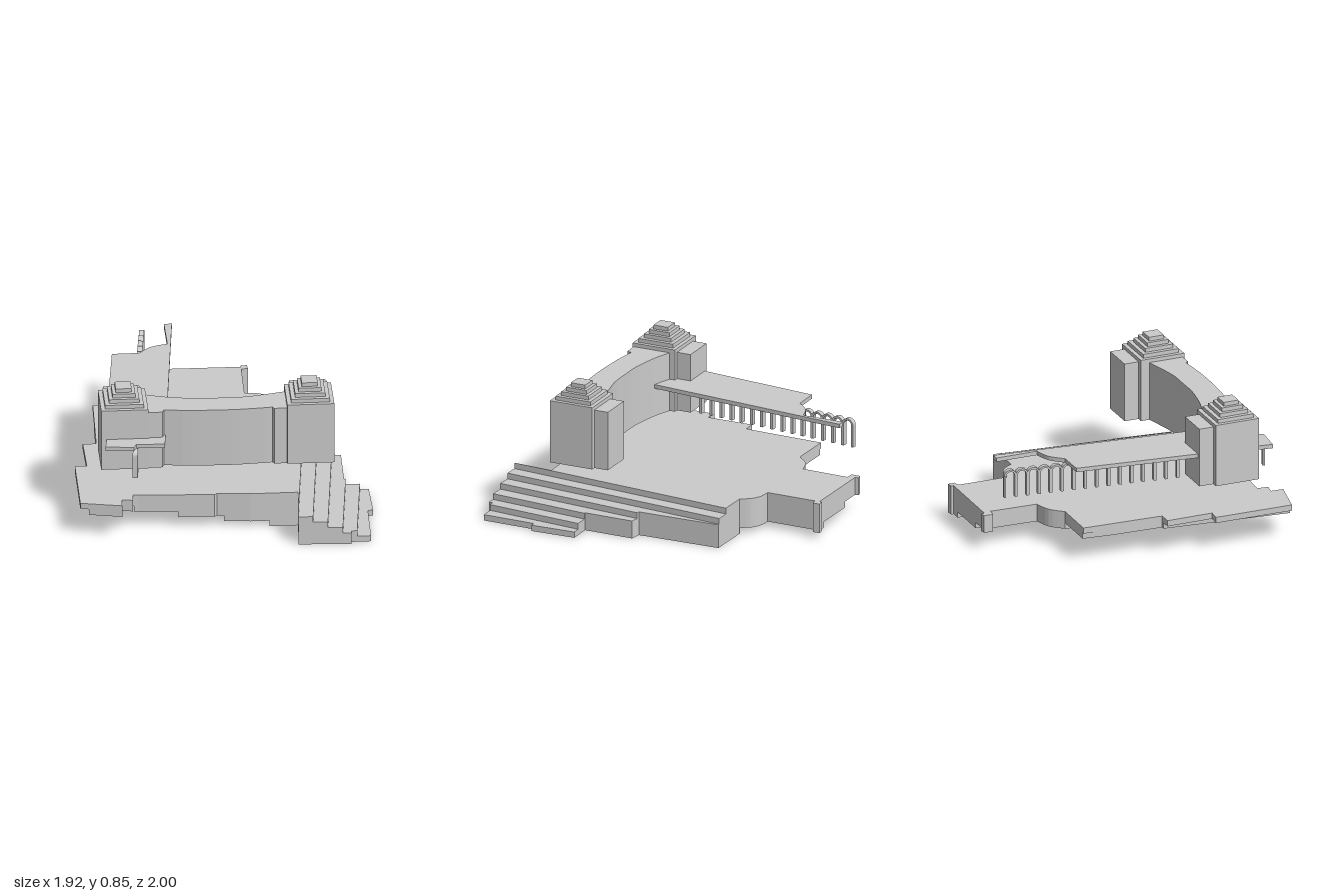
import * as THREE from 'three';

const material = new THREE.MeshStandardMaterial({ color: 0xcccccc, flatShading: true, side: THREE.DoubleSide });
const SLOPE = 0.21;   // the terraces run along u = x - SLOPE * z
const FLOOR = 0.36;   // underside of the raised building

// Extrude a plan outline of [x, z] points between two heights
function slab(name, points, y0, y1) {
  const shape = new THREE.Shape(points.map(([x, z]) => new THREE.Vector2(x, -z)));
  const geometry = new THREE.ExtrudeGeometry(shape, { depth: y1 - y0, bevelEnabled: false });
  geometry.rotateX(-Math.PI / 2).translate(0, y0, 0);
  const mesh = new THREE.Mesh(geometry, material);
  mesh.name = name;
  return mesh;
}

// Smooth run of plan points
function curve(points, n = 10) {
  return new THREE.SplineCurve(points.map(([x, z]) => new THREE.Vector2(x, z)))
    .getPoints(n).map((p) => [p.x, p.y]);
}

// Keep the part of an outline where sign * (u - limit) >= 0
function clip(points, limit, sign) {
  const side = ([x, z]) => sign * (x - SLOPE * z - limit);
  const out = [];
  points.forEach((a, i) => {
    const b = points[(i + 1) % points.length];
    const da = side(a), db = side(b);
    if (da >= 0) out.push(a);
    if (da * db < 0) {
      const t = da / (da - db);
      out.push([a[0] + t * (b[0] - a[0]), a[1] + t * (b[1] - a[1])]);
    }
  });
  return out;
}

// Terraced base: one plan cut into six layers that shift sideways as they go down
function makeBase() {
  const base = new THREE.Group();
  base.name = 'terracedBase';
  const outline = [
    [-0.71, -0.84], [-0.68, -0.855], [-0.67, -0.835], [-0.225, -0.97], [-0.23, -0.985], [-0.195, -1.0],
    [-0.18, -0.96], [-0.215, -0.94],
    ...curve([[-0.125, -0.64], [-0.05, -0.655], [0.015, -0.64], [0.07, -0.595]]),
    [0.335, -0.675], [0.5, -0.18], [0.57, -0.19], [0.66, 0.11], [0.8, 0.065], [0.89, 0.33], [0.86, 0.34],
    [0.955, 0.66], [0.845, 0.695], [0.85, 0.72], [0.545, 0.8], [0.485, 0.555], [0.215, 0.64],
    [0.02, 0.68], [0.01, 0.7], [-0.43, 0.81], [-0.46, 0.82], [-0.445, 0.885], [-0.51, 0.895], [-0.49, 0.97],
    [-0.74, 0.995], [-0.885, 0.525], [-0.815, 0.51], [-0.905, 0.235], [-0.83, 0.21], [-0.84, 0.17],
    [-0.965, -0.275],
    ...curve([[-0.7, -0.355], [-0.65, -0.45], [-0.565, -0.51]], 8),
    [-0.645, -0.795], [-0.695, -0.785],
  ];
  const west = [0.194, -0.08, -0.36, -0.626, -0.895, -2];
  const east = [2, 0.733, 0.647, 0.556, 0.466, 0.377];
  const h = 0.22 / 6;
  for (let i = 0; i < 6; i++) {
    const plan = clip(clip(outline, west[i], 1), east[i], -1);
    base.add(slab('terrace' + (i + 1), plan, i * h, (i + 1) * h));
  }
  return base;
}

// Square tower with a stepped roof and a lower block behind it
function makeTower(name, x, z) {
  const tower = new THREE.Group();
  tower.name = name;
  const box = (part, w, d, y0, y1, dx = 0, dz = 0) => {
    const mesh = new THREE.Mesh(new THREE.BoxGeometry(w, y1 - y0, d), material);
    mesh.position.set(dx, (y0 + y1) / 2, dz);
    mesh.name = part;
    tower.add(mesh);
  };
  box('towerBody', 0.28, 0.28, FLOOR, 0.75);
  box('rearBlock', 0.215, 0.15, FLOOR, 0.727, 0.005, -0.155);
  [0.23, 0.18, 0.136, 0.095].forEach((s, i) =>
    box('roofStep' + (i + 1), s, s, 0.75 + i * 0.0245, 0.75 + (i + 1) * 0.0245));
  tower.position.set(x, 0, z);
  tower.rotation.y = 0.305;
  return tower;
}

// Row of thin round-headed arches, running back from (x, z)
function makeArcade(name, x, z, count, pitch) {
  const arcade = new THREE.Group();
  arcade.name = name;
  const top = 0.535, outer = pitch / 2 + 0.003, inner = outer - 0.012;
  const spring = top - outer - FLOOR;
  const shape = new THREE.Shape();
  shape.moveTo(-outer, 0);
  shape.lineTo(-outer, spring);
  shape.absarc(0, spring, outer, Math.PI, 0, true);
  shape.lineTo(outer, 0);
  shape.lineTo(inner, 0);
  shape.lineTo(inner, spring);
  shape.absarc(0, spring, inner, 0, Math.PI, false);
  shape.lineTo(-inner, 0);
  const geometry = new THREE.ExtrudeGeometry(shape, { depth: 0.03, bevelEnabled: false, curveSegments: 8 });
  geometry.translate(0, 0, -0.015);
  for (let i = 0; i < count; i++) {
    const arch = new THREE.Mesh(geometry, material);
    arch.name = 'arch' + (i + 1);
    arch.position.x = (i + 0.5) * pitch;
    arcade.add(arch);
  }
  arcade.position.set(x, FLOOR, z);
  arcade.rotation.y = Math.PI / 2 + Math.atan(0.19);
  return arcade;
}

export function createModel() {
  const model = new THREE.Group();
  model.name = 'terracedBuilding';
  model.add(makeBase());

  // Towers and the curved hall between them
  model.add(makeTower('rightTower', -0.565, 0.632), makeTower('leftTower', 0.492, 0.3));
  model.add(slab('curvedHall', [
    ...curve([[-0.46, 0.49], [-0.33, 0.49], [-0.15, 0.465], [0, 0.42], [0.14, 0.37], [0.365, 0.24]], 20),
    [0.5, 0.3], [0.46, 0.445], [0.325, 0.49],
    ...curve([[0.31, 0.475], [0.24, 0.505], [0.08, 0.565], [-0.15, 0.63], [-0.31, 0.66]], 16),
    [-0.31, 0.69], [-0.395, 0.72], [-0.5, 0.65],
  ], FLOOR, 0.727));

  // Raised walkway running back, narrowing past a rounded corner
  model.add(slab('walkway', [
    [-0.645, -0.76], [-0.6, -0.775], [-0.335, 0.49], [-0.42, 0.6], [-0.66, 0.6], [-0.71, 0.44], [-0.855, -0.305],
    ...curve([[-0.7, -0.355], [-0.65, -0.45], [-0.565, -0.51]], 8),
  ], 0.535, 0.56));

  // Front balcony
  model.add(slab('balcony', [
    [-0.61, 0.895], [-0.445, 0.86], [-0.44, 0.82], [-0.275, 0.775], [-0.3, 0.655], [-0.63, 0.78],
  ], 0.535, 0.56));

  // Arcades under walkway and balcony
  model.add(makeArcade('walkwayArcade', -0.558, 0.4, 16, 0.0718));
  model.add(makeArcade('balconyArcade', -0.437, 0.86, 2, 0.0718));
  // The arcades run backwards, so their local x points to -z
  return model;
}
